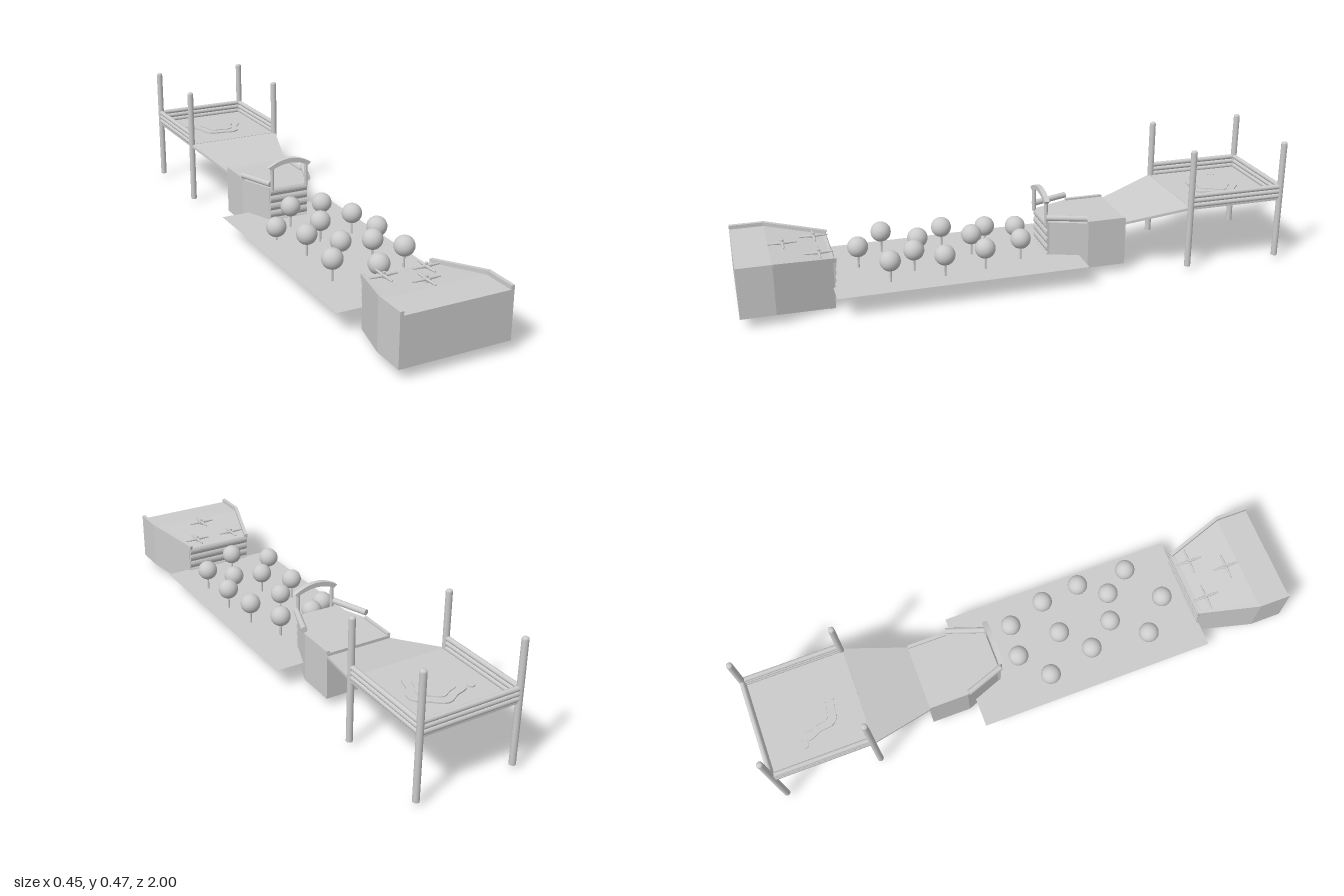
import * as THREE from 'three';

const mat = new THREE.MeshStandardMaterial({ color: 0xcccccc, side: THREE.DoubleSide });
const V = (x, y, z) => new THREE.Vector3(x, y, z);

export function createModel() {
  const root = new THREE.Group();
  const add = (name, geo, x = 0, y = 0, z = 0, parent = root) => {
    const m = new THREE.Mesh(geo, mat);
    m.name = name;
    m.position.set(x, y, z);
    parent.add(m);
    return m;
  };

  // Solid lofted through rectangular stations [z, halfWidth, bottom, top], z ascending
  const loft = (name, stations) => {
    const rings = stations.map(([z, w, b, t]) => [V(-w, b, z), V(w, b, z), V(w, t, z), V(-w, t, z)]);
    const pts = [];
    const quad = (a, b, c, d) => pts.push(a, b, c, a, c, d);
    for (let i = 0; i + 1 < rings.length; i++) {
      for (let j = 0; j < 4; j++) {
        const k = (j + 1) % 4;
        quad(rings[i][j], rings[i][k], rings[i + 1][k], rings[i + 1][j]);
      }
    }
    quad(...rings.at(-1));
    quad(...rings[0].slice().reverse());
    const g = new THREE.BufferGeometry().setFromPoints(pts);
    g.computeVertexNormals();
    return add(name, g);
  };

  // Round log or square beam between two points
  const log = (name, a, b, r) => {
    const m = add(name, new THREE.CylinderGeometry(r, r, a.distanceTo(b), 16));
    m.position.copy(a).lerp(b, 0.5);
    m.quaternion.setFromUnitVectors(V(0, 1, 0), b.clone().sub(a).normalize());
  };
  const beam = (name, a, b, w, h) => {
    const m = add(name, new THREE.BoxGeometry(w, h, a.distanceTo(b) + w * 0.5));
    m.position.copy(a).lerp(b, 0.5);
    m.lookAt(b);
  };

  // Scalloped rock face closing one end of a block; dir is the outward z direction
  const ribs = (name, halfWidth, z0, z1, y0, y1, dir, n = 6) => {
    const s = new THREE.Shape();
    s.moveTo(z0 - dir * 0.012, y0);
    s.lineTo(z0, y0);
    for (let i = 0; i < n; i++) {
      const t = (i + 1) / n, tm = (i + 0.5) / n;
      s.quadraticCurveTo(
        z0 + (z1 - z0) * tm + dir * 0.012, y0 + (y1 - y0) * tm,
        z0 + (z1 - z0) * t, y0 + (y1 - y0) * t);
    }
    s.lineTo(z1 - dir * 0.012, y1);
    const g = new THREE.ExtrudeGeometry(s, { depth: halfWidth * 2, bevelEnabled: false, curveSegments: 5 });
    g.translate(0, 0, -halfWidth).rotateY(-Math.PI / 2);
    add(name, g);
  };

  // Starting block with sloping inner end
  loft('startBlock', [[0.675, 0.132, 0.003, 0.177], [0.88, 0.198, 0.037, 0.207], [1, 0.198, 0.037, 0.207]]);
  ribs('startBlockRockFace', 0.13, 0.682, 0.668, 0, 0.178, -1);

  // Low rims along the starting block
  for (const s of [-1, 1]) {
    beam('startRim', V(s * 0.127, 0.181, 0.668), V(s * 0.192, 0.213, 0.88), 0.013, 0.016);
    beam('startRim', V(s * 0.192, 0.213, 0.88), V(s * 0.192, 0.213, 0.997), 0.013, 0.016);
  }

  // Cross-shaped markers with tapered arms
  for (const [x, z, y] of [[-0.08, 0.715, 0.189], [0.075, 0.715, 0.189], [0, 0.83, 0.208]]) {
    const cross = new THREE.Group();
    cross.name = 'crossMarker';
    cross.position.set(x, y, z);
    root.add(cross);
    for (let i = 0; i < 4; i++) {
      const arm = new THREE.CylinderGeometry(0.003, 0.006, 0.05, 8);
      arm.translate(0, 0.025, 0).rotateZ(-Math.PI / 2).rotateY(i * Math.PI / 2);
      add('crossArm', arm, 0, 0.003, 0, cross);
    }
    add('crossHub', new THREE.CylinderGeometry(0.005, 0.006, 0.026, 10), 0, 0.003, 0, cross);
  }

  // Flat field
  add('field', new THREE.PlaneGeometry(0.45, 0.9).rotateX(-Math.PI / 2), 0, 0.08, 0.23);

  // Balls on thin sticks
  const balls = [
    [-0.037, -0.02], [0.085, -0.005], [-0.138, 0.07, 0.13], [-0.005, 0.155], [0.132, 0.14], [-0.105, 0.245],
    [0.148, 0.29], [-0.03, 0.35], [0.075, 0.385], [-0.125, 0.467], [0.142, 0.482], [-0.01, 0.57],
  ];
  for (const [x, z, y = 0.16] of balls) {
    add('ball', new THREE.SphereGeometry(0.037, 28, 18), x, y, z);
    add('ballStick', new THREE.CylinderGeometry(0.004, 0.004, 0.07, 8), x, y - 0.05, z);
  }

  // Middle block
  loft('middleBlock', [[-0.395, 0.127, 0.03, 0.206], [-0.25, 0.127, 0.03, 0.206], [-0.118, 0.077, 0.03, 0.206]]);
  ribs('middleBlockRockFace', 0.076, -0.113, -0.11, 0.03, 0.206, 1);
  for (const s of [-1, 1]) {
    log('middleRail', V(s * 0.077, 0.226, -0.105), V(s * 0.127, 0.226, -0.245), 0.011);
    beam('middleRim', V(s * 0.122, 0.208, -0.25), V(s * 0.122, 0.208, -0.39), 0.012, 0.01);
    log('archPost', V(s * 0.07, 0.2, -0.105), V(s * 0.07, 0.292, -0.105), 0.007);
  }

  // Curved board over the archway
  const board = new THREE.Shape();
  board.moveTo(-0.087, 0.291);
  board.quadraticCurveTo(0, 0.345, 0.087, 0.291);
  board.lineTo(0.076, 0.281);
  board.quadraticCurveTo(0, 0.32, -0.076, 0.281);
  add('archBoard', new THREE.ExtrudeGeometry(board, { depth: 0.018, bevelEnabled: false, curveSegments: 20 }), 0, 0, -0.114);

  // Ramp up to the platform
  loft('ramp', [[-0.625, 0.19, 0.24, 0.25], [-0.395, 0.127, 0.185, 0.195]]);
  loft('platform', [[-0.992, 0.19, 0.24, 0.25], [-0.62, 0.19, 0.24, 0.25]]);

  // Corner posts with rounded tops
  for (const x of [-0.184, 0.184]) {
    for (const z of [-0.625, -0.987]) {
      log('cornerPost', V(x, 0.015, z), V(x, 0.458, z), 0.0115);
      add('postCap', new THREE.SphereGeometry(0.0115, 16, 8, 0, Math.PI * 2, 0, Math.PI / 2).scale(1, 0.75, 1), x, 0.458, z);
    }
  }

  // Three stacked log rails on the sides and back
  for (const y of [0.255, 0.273, 0.291]) {
    for (const x of [-0.184, 0.184]) log('sideRail', V(x, y, -0.625), V(x, y, -0.987), 0.009);
    log('backRail', V(-0.184, y, -0.987), V(0.184, y, -0.987), 0.009);
  }

  // Puddle: nested wavy slabs and a droplet
  const puddle = (name, r, depth, x, z, wave) => {
    const pts = [];
    for (let i = 0; i < 56; i++) {
      const a = i / 56 * Math.PI * 2;
      const k = r * (1 + wave * (Math.sin(5 * a + 0.6) + 0.5 * Math.sin(3 * a)));
      pts.push(new THREE.Vector2(k * Math.cos(a), k * Math.sin(a)));
    }
    const g = new THREE.ExtrudeGeometry(new THREE.Shape(pts), { depth, bevelEnabled: false });
    add(name, g.rotateX(-Math.PI / 2), x, 0.249, z);
  };
  puddle('puddle', 0.095, 0.006, 0, -0.8, 0.09);
  puddle('puddleInner', 0.065, 0.009, 0, -0.8, 0.09);
  puddle('puddleDroplet', 0.013, 0.006, -0.11, -0.85, 0.02);

  return root;
}
